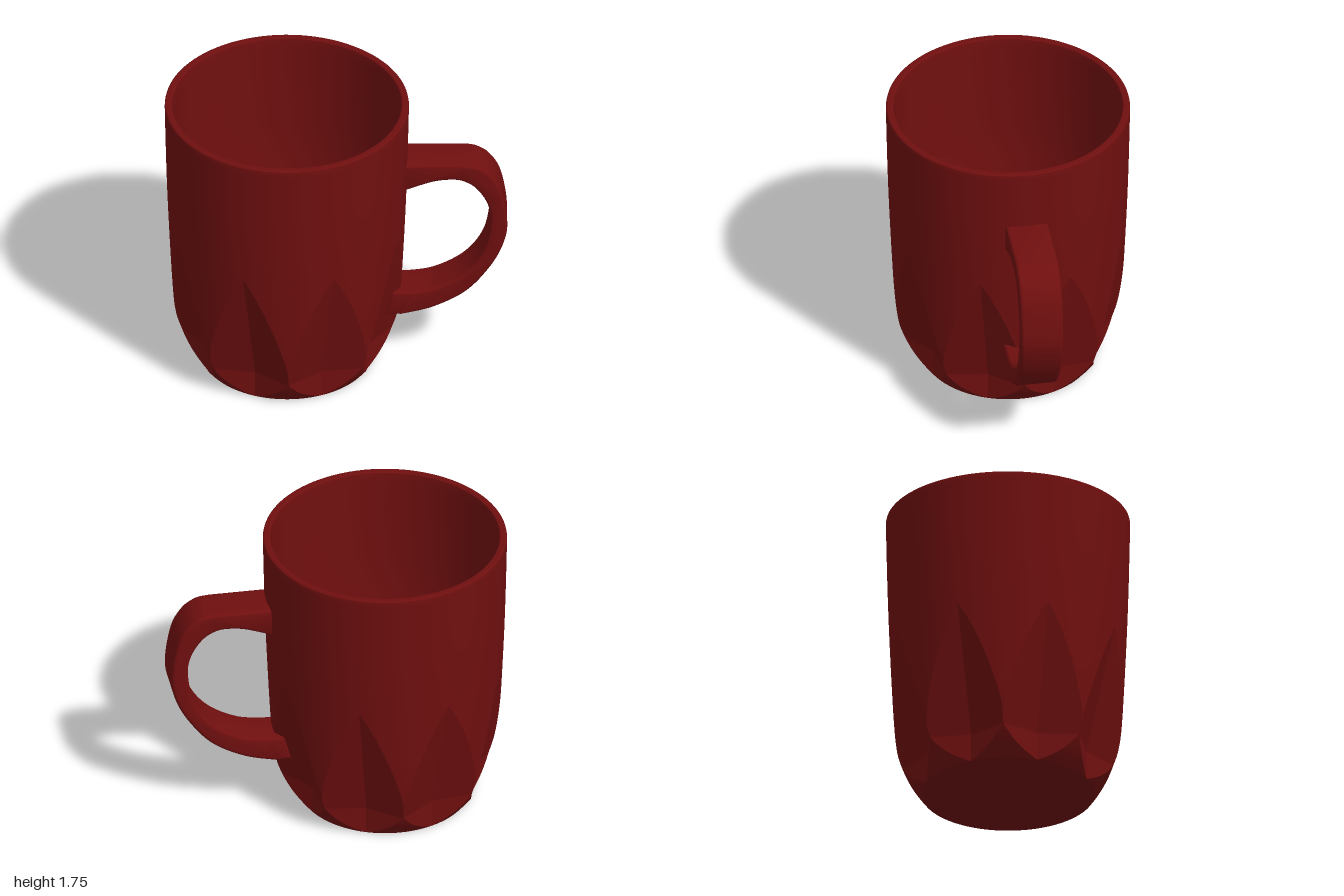
import * as THREE from 'three';
import { mergeGeometries, toCreasedNormals } from 'three/addons/utils/BufferGeometryUtils.js';

const V = (x, y) => new THREE.Vector2(x, y);
const PETALS = 8, HALF = Math.PI / PETALS;
const STEPS = 10;

// Outer wall profile as (radius, height); petal tips sit on the sixth point
const wall = new THREE.SplineCurve([
  V(0.505, 0), V(0.572, 0.09), V(0.622, 0.19), V(0.65, 0.3), V(0.668, 0.5),
  V(0.69, 0.94), V(0.703, 1.3), V(0.713, 1.735),
]).getPoints(7 * STEPS);
const lower = wall.slice(0, 5 * STEPS + 1);
const upper = wall.slice(5 * STEPS);

// Radius of the crease down the middle of each petal cut
const crease = (y) => Math.max(0.505, 0.5 + 0.19 * (y - 0.15) / 0.79);

// Slope of the cut facets, chosen so that neighbouring petals just touch
const slope = Math.max(...lower.map((p) =>
  (p.x * Math.cos(HALF) - crease(p.y)) / (p.x * Math.sin(HALF))));
const facetRadius = (a, y) => crease(y) / (Math.cos(a) - slope * Math.sin(Math.abs(a)));

// Half-angle at which the facet meets the round wall
function petalEdge(p) {
  const c = Math.min(1, crease(p.y) / (p.x * Math.hypot(1, slope)));
  return THREE.MathUtils.clamp(Math.acos(c) - Math.atan(slope), 0, HALF);
}

// Grid over the lower rows between two angles that vary with height
function patch(centre, from, to, isFacet) {
  const cols = 6, pos = [], nor = [], index = [];
  lower.forEach((p, i) => {
    const t = lower[Math.min(i + 1, lower.length - 1)].clone().sub(lower[Math.max(i - 1, 0)]).normalize();
    for (let j = 0; j <= cols; j++) {
      const a = THREE.MathUtils.lerp(from(p), to(p), j / cols);
      const r = isFacet ? Math.min(p.x, facetRadius(a, p.y)) : p.x;
      const c = Math.cos(centre + a), s = Math.sin(centre + a);
      pos.push(r * c, p.y, r * s);
      nor.push(t.y * c, -t.x, t.y * s);
      if (i < lower.length - 1 && j < cols) {
        const k = i * (cols + 1) + j, up = k + cols + 1;
        index.push(k, up, k + 1, k + 1, up, up + 1);
      }
    }
  });
  const g = new THREE.BufferGeometry();
  g.setAttribute('position', new THREE.Float32BufferAttribute(pos, 3));
  g.setAttribute('normal', new THREE.Float32BufferAttribute(nor, 3));
  g.setIndex(index);
  const flat = g.toNonIndexed();
  if (isFacet) flat.computeVertexNormals();
  return flat;
}

export function createModel() {
  const model = new THREE.Group();
  model.name = 'mug';
  const material = new THREE.MeshStandardMaterial({ color: 0x700f0f });
  const add = (parent, name, geometry) => {
    const mesh = new THREE.Mesh(geometry, material);
    mesh.name = name;
    parent.add(mesh);
    return mesh;
  };

  const cup = new THREE.Group();
  cup.name = 'cup';
  cup.position.x = -0.285;
  model.add(cup);

  // Upper wall, rim and hollow inside
  const inside = new THREE.SplineCurve([
    V(0.668, 1.735), V(0.658, 1.3), V(0.638, 0.94), V(0.57, 0.5),
    V(0.5, 0.23), V(0.42, 0.13), V(0.3, 0.105), V(0, 0.1),
  ]).getPoints(42);
  inside[inside.length - 1].x = 0;
  const profile = [...upper, V(0.711, 1.745), V(0.705, 1.75), V(0.676, 1.75), V(0.67, 1.745), ...inside];
  add(cup, 'upperWallAndInside', toCreasedNormals(new THREE.LatheGeometry(profile, 96), 0.6));

  // Lower wall with its ring of V-shaped petal cuts
  const facets = [], lands = [];
  const edge = petalEdge, minusEdge = (p) => -petalEdge(p);
  for (let i = 0; i < PETALS; i++) {
    const a = (2 * i + 1) * HALF;
    facets.push(patch(a, minusEdge, () => 0, true), patch(a, () => 0, edge, true));
    lands.push(patch(a, () => -HALF, minusEdge, false), patch(a, edge, () => HALF, false));
  }
  add(cup, 'petalCuts', mergeGeometries(facets));
  add(cup, 'lowerWall', mergeGeometries(lands));

  // Flat underside
  add(cup, 'base', new THREE.CircleGeometry(0.505, 96).rotateX(Math.PI / 2));

  // Handle: side outline extruded across its width with softened edges
  const outline = new THREE.Shape();
  outline.moveTo(0.385, 1.38);
  outline.lineTo(0.74, 1.38);
  outline.splineThru([V(0.82, 1.367), V(0.9, 1.31), V(0.965, 1.19), V(1, 0.97), V(0.977, 0.82),
    V(0.9, 0.66), V(0.76, 0.49), V(0.57, 0.38), V(0.38, 0.328)]);
  outline.lineTo(0.29, 0.335);
  outline.lineTo(0.325, 0.485);
  outline.lineTo(0.42, 0.485);
  outline.splineThru([V(0.58, 0.515), V(0.75, 0.615), V(0.86, 0.77), V(0.9, 0.97),
    V(0.885, 1.1), V(0.82, 1.21), V(0.74, 1.265), V(0.66, 1.275), V(0.56, 1.26), V(0.42, 1.21)]);
  outline.lineTo(0.385, 1.195);
  const bevel = 0.02, width = 0.25;
  const handle = new THREE.ExtrudeGeometry(outline, {
    depth: width - 2 * bevel, curveSegments: 48,
    bevelThickness: bevel, bevelSize: bevel, bevelOffset: -bevel, bevelSegments: 4,
  }).translate(0, 0, bevel - width / 2);
  add(model, 'handle', toCreasedNormals(handle, 0.6));

  return model;
}
